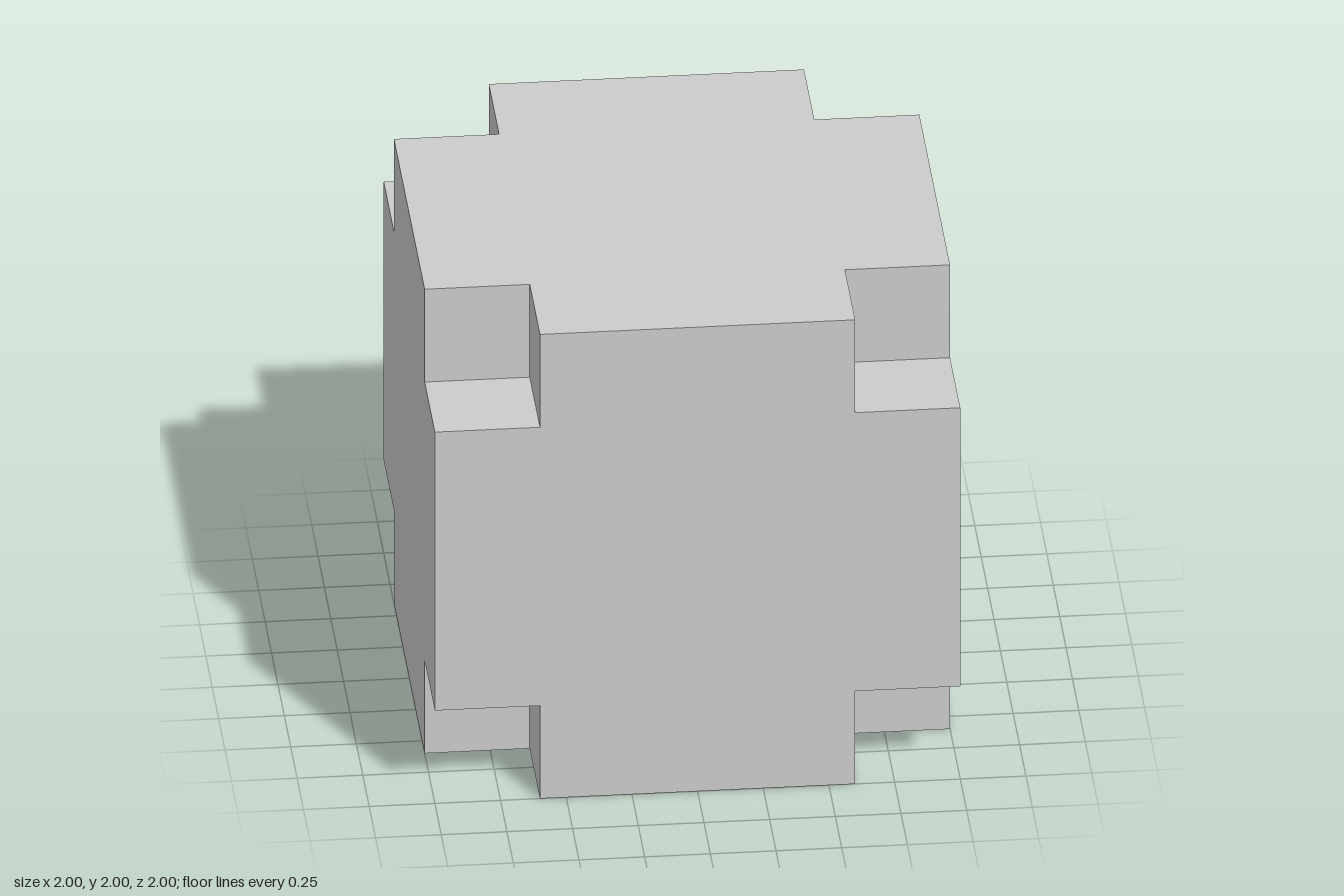
import * as THREE from 'three';
import { mergeGeometries } from 'three/addons/utils/BufferGeometryUtils.js';

const HALF = 1;     // half the cube's side
const INNER = 0.6;  // where the corner notches begin

// One side of the cube, facing +z: a cross-shaped face and four recessed notch floors
function sideGeometry() {
  const cross = new THREE.Shape([
    [INNER, -HALF], [INNER, -INNER], [HALF, -INNER],
    [HALF, INNER], [INNER, INNER], [INNER, HALF],
    [-INNER, HALF], [-INNER, INNER], [-HALF, INNER],
    [-HALF, -INNER], [-INNER, -INNER], [-INNER, -HALF],
  ].map(([x, y]) => new THREE.Vector2(x, y)));
  const parts = [new THREE.ShapeGeometry(cross).translate(0, 0, HALF)];

  const size = HALF - INNER;
  const mid = (HALF + INNER) / 2;
  for (const sx of [-1, 1]) {
    for (const sy of [-1, 1]) {
      parts.push(new THREE.PlaneGeometry(size, size).translate(sx * mid, sy * mid, INNER));
    }
  }
  return mergeGeometries(parts);
}

export function createModel() {
  const group = new THREE.Group();
  group.name = 'notchedCube';

  // Turn the same side to all six directions
  const side = sideGeometry();
  const sides = [];
  for (let i = 0; i < 4; i++) sides.push(side.clone().rotateY(i * Math.PI / 2));
  for (const s of [-1, 1]) sides.push(side.clone().rotateX(s * Math.PI / 2));

  const body = new THREE.Mesh(
    mergeGeometries(sides),
    new THREE.MeshStandardMaterial({ color: 0xcccccc, flatShading: true })
  );
  body.name = 'cubeBody';
  body.position.y = HALF;
  group.add(body);
  return group;
}
